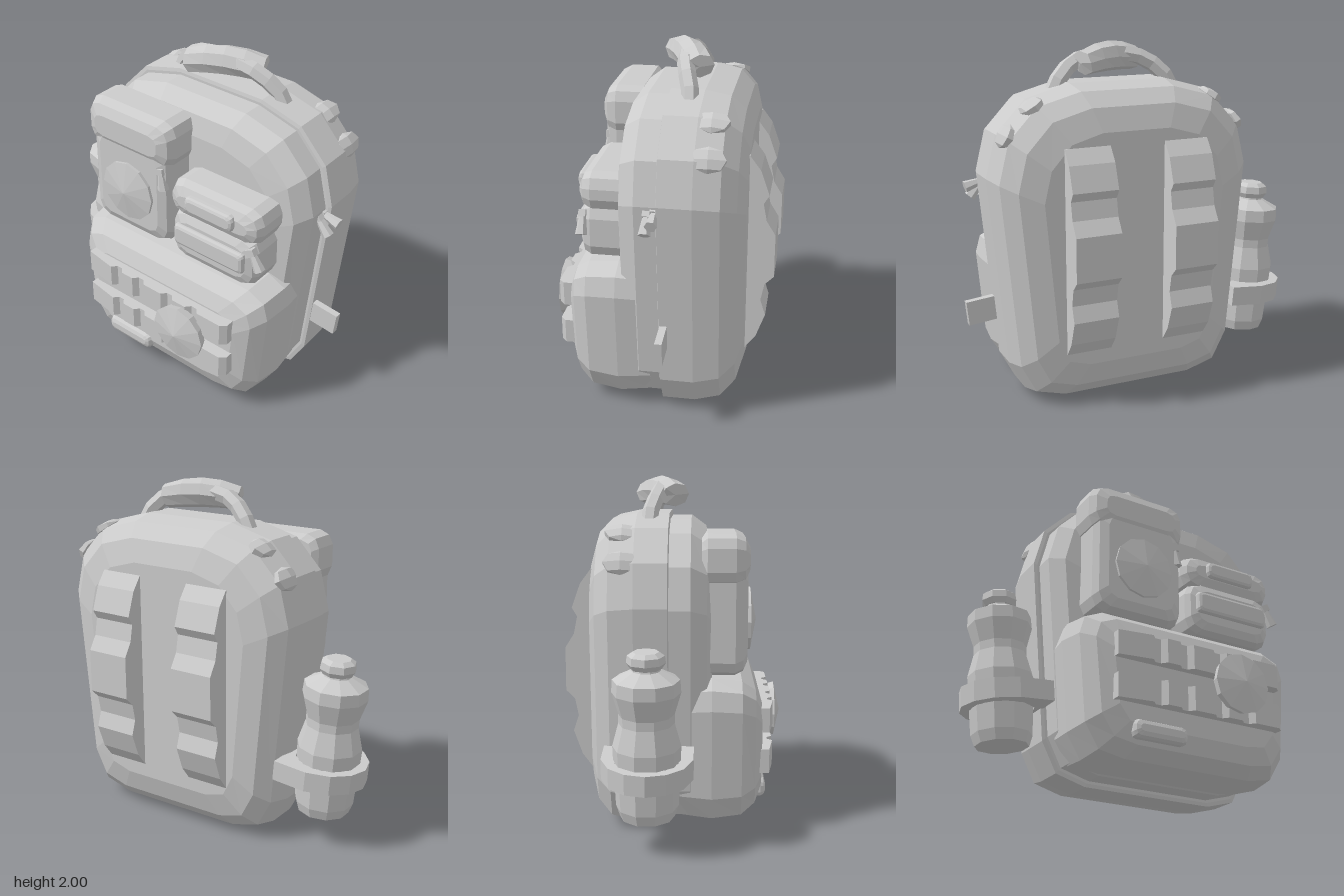
import * as THREE from 'three';

const mat = new THREE.MeshStandardMaterial({ color: 0xcccccc, flatShading: true, side: THREE.DoubleSide });

export function createModel() {
  const model = new THREE.Group();

  const add = (name, geo, x = 0, y = 0, z = 0, rx = 0, ry = 0, rz = 0) => {
    const m = new THREE.Mesh(geo, mat);
    m.name = name;
    m.position.set(x, y, z);
    m.rotation.set(rx, ry, rz);
    model.add(m);
    return m;
  };

  // Mirror a right-hand half outline (bottom to top) into a closed loop
  const mirror = (half) => [...half, ...half.map(([x, y]) => [-x, y]).reverse()];

  // Rectangle with cut corners, centred on the origin
  const cutRect = (w, h, c) => mirror([
    [w / 2 - c, -h / 2], [w / 2 - c * 0.3, -h / 2 + c * 0.3], [w / 2, -h / 2 + c],
    [w / 2, h / 2 - c], [w / 2 - c * 0.3, h / 2 - c * 0.3], [w / 2 - c, h / 2],
  ]);

  // Stack inset copies of an outline along z: layers are [z, inset]
  const loft = (outline, layers) => {
    const xs = outline.map((p) => p[0]), ys = outline.map((p) => p[1]);
    const cx = (Math.min(...xs) + Math.max(...xs)) / 2, hw = Math.max(...xs) - cx;
    const cy = (Math.min(...ys) + Math.max(...ys)) / 2, hh = Math.max(...ys) - cy;
    const n = outline.length, pos = [], idx = [];
    for (const [z, d] of layers) {
      for (const [x, y] of outline) pos.push(cx + (x - cx) * (1 - d / hw), cy + (y - cy) * (1 - d / hh), z);
    }
    const last = (layers.length - 1) * n, back = layers.length * n;
    pos.push(cx, cy, layers[0][0], cx, cy, layers[layers.length - 1][0]);
    for (let i = 0; i < n; i++) {
      const j = (i + 1) % n;
      for (let a = 0; a < last; a += n) idx.push(a + i, a + j, a + n + j, a + i, a + n + j, a + n + i);
      idx.push(back, j, i, back + 1, last + i, last + j);
    }
    const g = new THREE.BufferGeometry();
    g.setAttribute('position', new THREE.Float32BufferAttribute(pos, 3));
    g.setIndex(idx);
    const flat = g.toNonIndexed();
    flat.computeVertexNormals();
    return flat;
  };

  // Puffed box whose front and back edges are bevelled
  const puff = (name, x, y, w, h, z0, z1, c, b) =>
    add(name, loft(cutRect(w, h, c), [
      [z0, b * 0.4], [z0 + b * 0.4, 0], [z1 - b, 0], [z1 - b * 0.35, b * 0.3], [z1, b],
    ]), x, y);

  const lathe = (pts, sides) => new THREE.LatheGeometry(pts.map(([r, y]) => new THREE.Vector2(r, y)), sides);

  const cx = 0.13; // the bag sits off-centre because of the bottle

  // Main bag
  const bag = mirror([
    [0.41, 0], [0.59, 0.05], [0.68, 0.22], [0.78, 1.3],
    [0.72, 1.54], [0.55, 1.72], [0.29, 1.79],
  ]);
  add('backCompartment', loft(bag, [
    [-0.49, 0.24], [-0.45, 0.11], [-0.37, 0.03], [-0.23, 0], [-0.045, 0], [-0.04, 0.02],
  ]), cx);
  add('frontCompartment', loft(bag, [[-0.06, 0.035], [0.08, 0.035], [0.17, 0.1], [0.2, 0.22]]), cx);

  // Large lower pocket
  add('lowerPocket', loft(mirror([
    [0.41, 0.03], [0.57, 0.06], [0.655, 0.2], [0.7, 0.72], [0.67, 0.83], [0.56, 0.88],
  ]), [[0.02, 0.02], [0.2, 0], [0.37, 0.02], [0.45, 0.08], [0.49, 0.17]]), cx);

  // Upper pouches with lids
  puff('tallPouch', -0.175, 1.22, 0.57, 0.66, 0.15, 0.4, 0.08, 0.07);
  puff('tallPouchLid', -0.18, 1.545, 0.62, 0.29, 0.14, 0.41, 0.08, 0.08);
  puff('widePouch', 0.435, 1.05, 0.58, 0.32, 0.15, 0.41, 0.08, 0.06);
  puff('widePouchLid', 0.435, 1.28, 0.62, 0.22, 0.14, 0.41, 0.08, 0.07);
  puff('lidPull', 0.43, 1.295, 0.33, 0.1, 0.36, 0.44, 0.03, 0.02);
  puff('pouchPanel', 0.43, 1.065, 0.48, 0.13, 0.36, 0.44, 0.02, 0.02);
  puff('lowerPull', -0.12, 0.185, 0.33, 0.1, 0.42, 0.52, 0.03, 0.03);

  // Round badges
  add('pouchDisc', lathe([[0, 0], [0.18, 0], [0.185, 0.03], [0, 0.065]], 12), -0.17, 1.185, 0.39, Math.PI / 2);
  add('pocketDisc', lathe([[0, 0], [0.16, 0], [0.175, 0.05], [0, 0.09]], 12), 0.35, 0.52, 0.55, Math.PI / 2);

  // Webbing strips pinched at regular stitches
  const strip = new THREE.Shape();
  strip.moveTo(-0.4, 0.44);
  strip.lineTo(-0.4, 0.53);
  for (const x of [-0.155, 0.015, 0.235, 0.415]) {
    strip.lineTo(x - 0.045, 0.56);
    strip.lineTo(x - 0.018, 0.53);
    strip.lineTo(x + 0.018, 0.53);
    strip.lineTo(x + 0.045, 0.56);
  }
  strip.lineTo(0.62, 0.56);
  strip.lineTo(0.655, 0.53);
  strip.lineTo(0.655, 0.44);
  for (const y of [0.7, 0.46]) {
    add('webbingStrip', new THREE.ExtrudeGeometry(strip, { depth: 0.14, bevelEnabled: false }), 0, y, 0, Math.PI / 2);
  }

  // Padded shoulder straps on the back
  const pad = new THREE.Shape([
    [0.44, 1.48], [0.49, 1.48], [0.55, 1.4], [0.6, 1.26], [0.57, 1.21], [0.59, 1.11], [0.64, 1.03],
    [0.64, 0.78], [0.59, 0.73], [0.57, 0.63], [0.6, 0.54], [0.55, 0.4], [0.49, 0.32], [0.44, 0.32],
  ].map(([d, y]) => new THREE.Vector2(d, y)));
  for (const x of [-0.035, 0.555]) {
    // rotation turns the profile depth towards -z and the extrusion towards -x
    const geo = new THREE.ExtrudeGeometry(pad, { depth: 0.265, bevelEnabled: false });
    geo.translate(0, 0, -0.265).rotateY(Math.PI / 2);
    add('backPad', geo, x, 0, 0);
  }

  // Carry handle: bent tube with a thicker grip
  const path = new THREE.CatmullRomCurve3([
    [-0.24, 1.72, -0.16], [-0.19, 1.81, -0.15], [-0.07, 1.9, -0.11], [0.13, 1.93, -0.1],
    [0.33, 1.9, -0.11], [0.45, 1.81, -0.15], [0.5, 1.72, -0.16],
  ].map((p) => new THREE.Vector3(...p)));
  add('handle', new THREE.TubeGeometry(path, 10, 0.048, 6));
  const grip = new THREE.CylinderGeometry(0.085, 0.085, 0.45, 8, 4).rotateX(Math.PI / 8).rotateZ(Math.PI / 2);
  const gp = grip.attributes.position;
  for (let i = 0; i < gp.count; i++) {
    const t = Math.abs(gp.getX(i)) / 0.225;
    gp.setY(i, gp.getY(i) * (1 - 0.25 * t * t) - 0.03 * t * t);
    if (gp.getY(i) < -0.03) gp.setX(i, gp.getX(i) * 0.85);
  }
  add('handleGrip', grip, cx, 1.915, -0.1);

  // Faceted strap anchors on the upper corners
  for (const s of [-1, 1]) {
    for (const [x, y, a] of [[0.69, 1.54, 0.5], [0.54, 1.69, 1.0]]) {
      const geo = new THREE.SphereGeometry(1, 6, 4).scale(0.035, 0.07, 0.11);
      add('strapAnchor', geo, cx + s * x, y, -0.3, 0, 0, s * a);
    }
  }

  // Water bottle leaning on the side
  const bottle = new THREE.Group();
  bottle.name = 'bottle';
  bottle.position.set(-0.74, 0.185, -0.15);
  bottle.rotation.z = 0.08;
  const bottleBody = add('bottleBody', lathe([
    [0, 0], [0.15, 0], [0.17, 0.06], [0.18, 0.27], [0.185, 0.4], [0.15, 0.53], [0.15, 0.58],
    [0.185, 0.7], [0.18, 0.77], [0.08, 0.82], [0.07, 0.85], [0, 0.85],
  ], 10));
  const cap = add('bottleCap', lathe([[0, 0.83], [0.085, 0.83], [0.105, 0.86], [0.1, 0.9], [0.07, 0.92], [0, 0.92]], 8));
  bottle.add(bottleBody, cap);
  model.add(bottle);

  // Strap holding the bottle to the bag
  const hoop = new THREE.Shape([
    [-0.56, -0.25], [-0.76, -0.25], [-0.89, -0.2], [-0.97, -0.11], [-1, 0],
    [-0.97, 0.11], [-0.89, 0.2], [-0.76, 0.25], [-0.56, 0.25],
  ].map(([x, y]) => new THREE.Vector2(x + 0.76, y)));
  hoop.holes.push(new THREE.Path().absarc(0, 0, 0.18, 0, Math.PI * 2, true));
  const hoopGeo = new THREE.ExtrudeGeometry(hoop, { depth: 0.115, bevelEnabled: false, curveSegments: 5 });
  add('bottleStrap', hoopGeo.rotateX(-Math.PI / 2), -0.75, 0.39, -0.15, 0, 0, 0.09);

  // Side tag and zip pulls
  add('sideTag', new THREE.BoxGeometry(0.24, 0.14, 0.04), 0.88, 0.505, -0.07, 0, 0, -0.1);
  const zipPull = (x, y, z, rz, ry = 0) => {
    add('zipPull', new THREE.CylinderGeometry(0.018, 0.034, 0.11, 6), x, y, z, 0, ry, rz);
    add('zipSlider', new THREE.BoxGeometry(0.05, 0.04, 0.04), x - Math.sin(rz) * 0.06, y + Math.cos(rz) * 0.06, z, 0, ry, rz);
  };
  zipPull(0.065, 1.335, 0.38, 0.15);
  zipPull(0.73, 1.1, 0.39, 0.5);
  zipPull(0.92, 1.235, -0.03, 1.3);
  zipPull(0.9, 1.195, 0.01, 0.7);

  return model;
}
